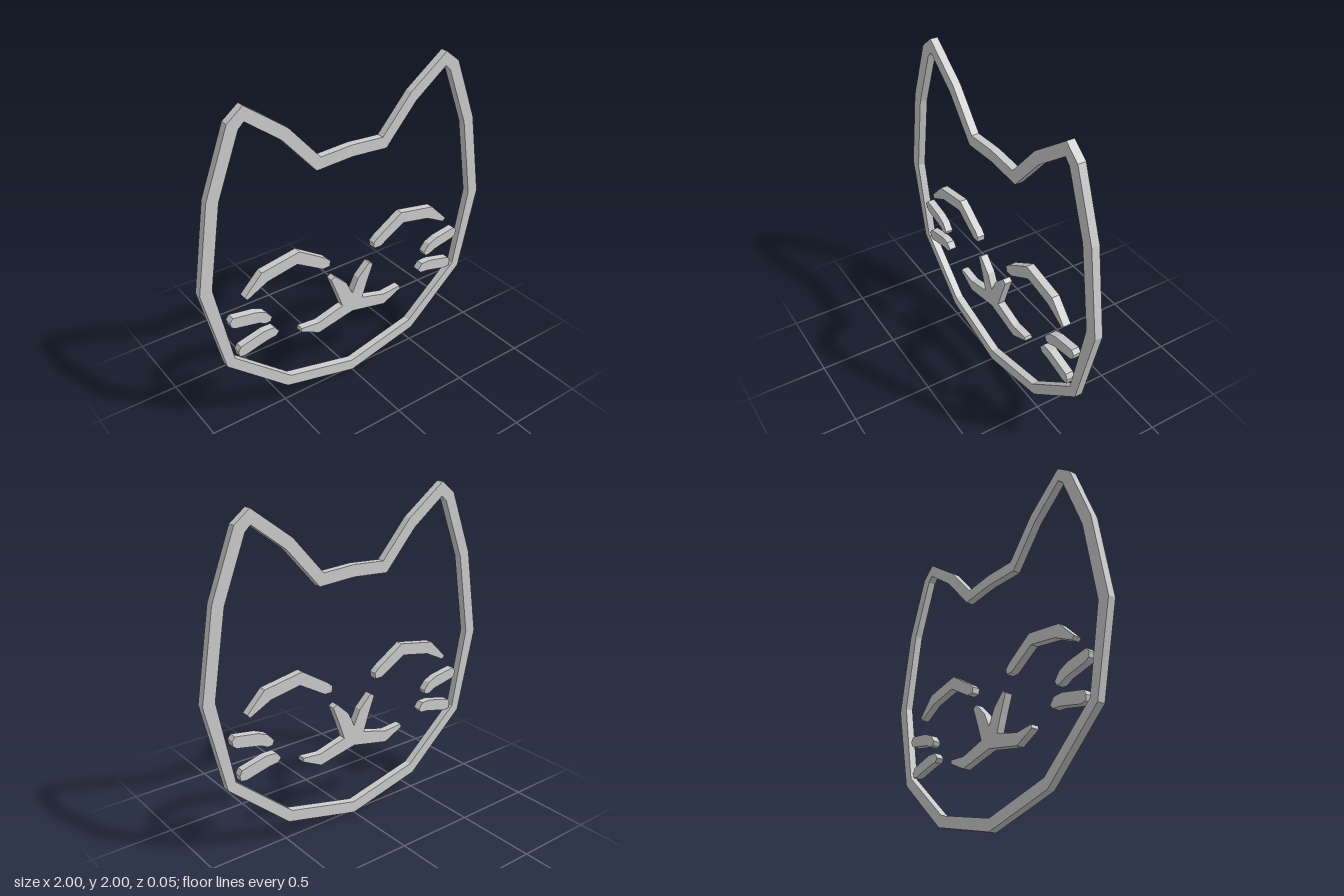
import * as THREE from 'three';

const DEPTH = 0.048;
const material = new THREE.MeshStandardMaterial({ color: 0xcccccc, flatShading: true });

const toPoints = (pairs) => pairs.map(([x, y]) => new THREE.Vector2(x, y));
const flip = (pairs) => pairs.map(([x, y]) => [-x, y]).reverse();

// Completes a half outline whose first and last points lie on x = 0
const symmetric = (half) => toPoints([...half, ...flip(half.slice(1, -1))]);

function plate(name, outline, hole) {
  const shape = new THREE.Shape(outline);
  if (hole) shape.holes.push(new THREE.Path(hole));
  const geometry = new THREE.ExtrudeGeometry(shape, { depth: DEPTH, bevelEnabled: false });
  geometry.translate(0, 0, -DEPTH / 2);
  const mesh = new THREE.Mesh(geometry, material);
  mesh.name = name;
  return mesh;
}

// Head outline, left half from chin to crown
const headOuter = [
  [0, 0], [0.49, 0.12], [0.88, 0.465], [1, 1], [0.91, 1.535], [0.76, 1.92],
  [0.663, 1.995], [0.41, 1.81], [0.212, 1.587], [0, 1.6],
];
const headInner = [
  [0, 0.075], [0.465, 0.187], [0.828, 0.502], [0.925, 1.008], [0.84, 1.515], [0.698, 1.877],
  [0.663, 1.91], [0.45, 1.75], [0.24, 1.513], [0, 1.528],
];

// Nose and mouth, left half from lower lip to nose notch
const muzzle = [
  [0, 0.47], [0.25, 0.417], [0.38, 0.481], [0.374, 0.503], [0.25, 0.492], [0.075, 0.54],
  [0.112, 0.647], [0.155, 0.76], [0.128, 0.777], [0.045, 0.697], [0, 0.604],
];

// Paired features, drawn on the left side
const pairs = {
  Eye: [
    [0.16, 0.902], [0.19, 0.93], [0.37, 1.044], [0.62, 1], [0.737, 0.881],
    [0.72, 0.861], [0.585, 0.93], [0.388, 0.967], [0.214, 0.865], [0.165, 0.866],
  ],
  UpperWhisker: [
    [0.572, 0.68], [0.61, 0.727], [0.674, 0.754], [0.82, 0.778], [0.84, 0.754],
    [0.834, 0.722], [0.813, 0.706], [0.658, 0.674], [0.615, 0.652], [0.583, 0.654],
  ],
  LowerWhisker: [
    [0.53, 0.56], [0.56, 0.598], [0.626, 0.6], [0.786, 0.561], [0.803, 0.53],
    [0.797, 0.497], [0.76, 0.492], [0.604, 0.53], [0.55, 0.535],
  ],
};

export function createModel() {
  const group = new THREE.Group();
  group.name = 'catFace';
  group.add(plate('headOutline', symmetric(headOuter), symmetric(headInner)));
  group.add(plate('noseAndMouth', symmetric(muzzle)));
  for (const [name, outline] of Object.entries(pairs)) {
    group.add(plate('left' + name, toPoints(outline)));
    group.add(plate('right' + name, toPoints(flip(outline))));
  }
  return group;
}
